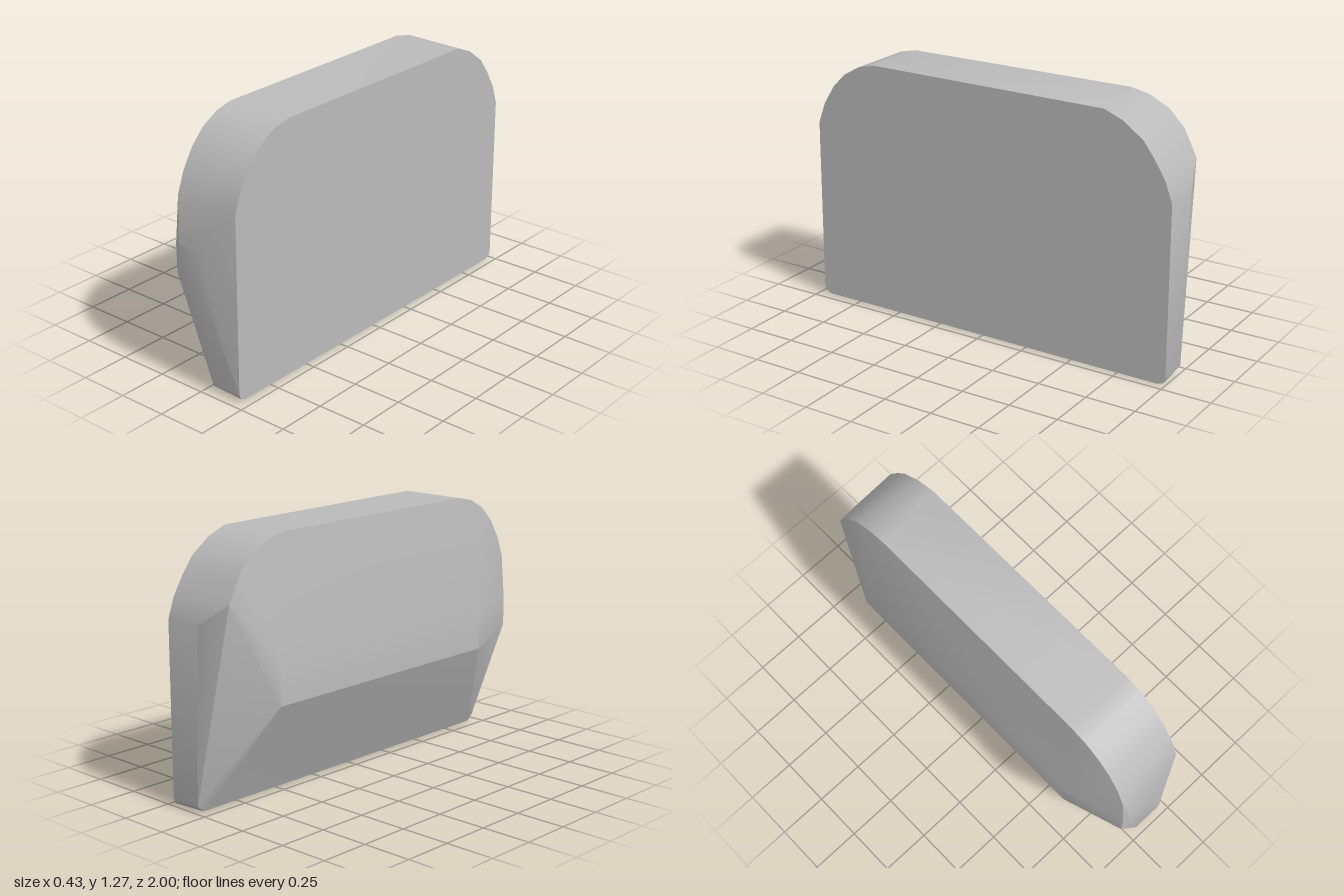
import * as THREE from 'three';
import { ConvexGeometry } from 'three/addons/geometries/ConvexGeometry.js';
import { toCreasedNormals } from 'three/addons/utils/BufferGeometryUtils.js';

export function createModel() {
  const group = new THREE.Group();
  const grey = new THREE.MeshStandardMaterial({ color: 0xbbbbbb });
  grey.name = 'plain grey';

  const points = [];
  // adds a section of [z, y] pairs at one x
  const section = (x, pairs) => pairs.forEach(([z, y]) => points.push(new THREE.Vector3(x, y, z)));

  // rounded shoulders shared by both sides, front then back
  const frontArc = [[0.96, 0.93], [0.92, 1.035], [0.86, 1.13], [0.79, 1.2], [0.7, 1.25], [0.61, 1.27]];
  const backArc = [[-0.6, 1.27], [-0.7, 1.25], [-0.8, 1.2], [-0.88, 1.12], [-0.945, 0.99]];

  // flat right face, with clipped bottom corners
  section(0.21, [
    [0.93, 0.008], [0.955, 0.02], [0.967, 0.045], ...frontArc,
    [-0.65, 1.262], [-0.75, 1.222], [-0.85, 1.15], [-0.91, 1.07], [-0.965, 0.98], [-1, 0.88],
    [-1, 0.035], [-0.988, 0.01], [-0.96, 0],
  ]);
  // left rim of the shoulders
  section(-0.133, [...frontArc, ...backArc, [0.985, 0.56], [0.985, 0.7]]);
  // slight swell of the front end, and the straight back end
  section(-0.1, [[1, 0.57], [1, 0.72]]);
  section(0.02, [[1, 0.55], [1, 0.7], [-0.998, 0.88]]);
  // narrow foot
  section(0.05, [[0.965, 0.035], [0.93, 0.004], [-0.96, 0.004], [-0.995, 0.035]]);
  section(0.06, [[0.92, 0], [-0.95, 0]]);
  // raised ridge on the left side
  section(-0.215, [[0.68, 0.5], [0.68, 0.69], [-0.72, 0.69], [-0.72, 0.5]]);

  const body = new THREE.Mesh(toCreasedNormals(new ConvexGeometry(points), 0.45), grey);
  body.name = 'body';
  group.add(body);
  return group;
}
